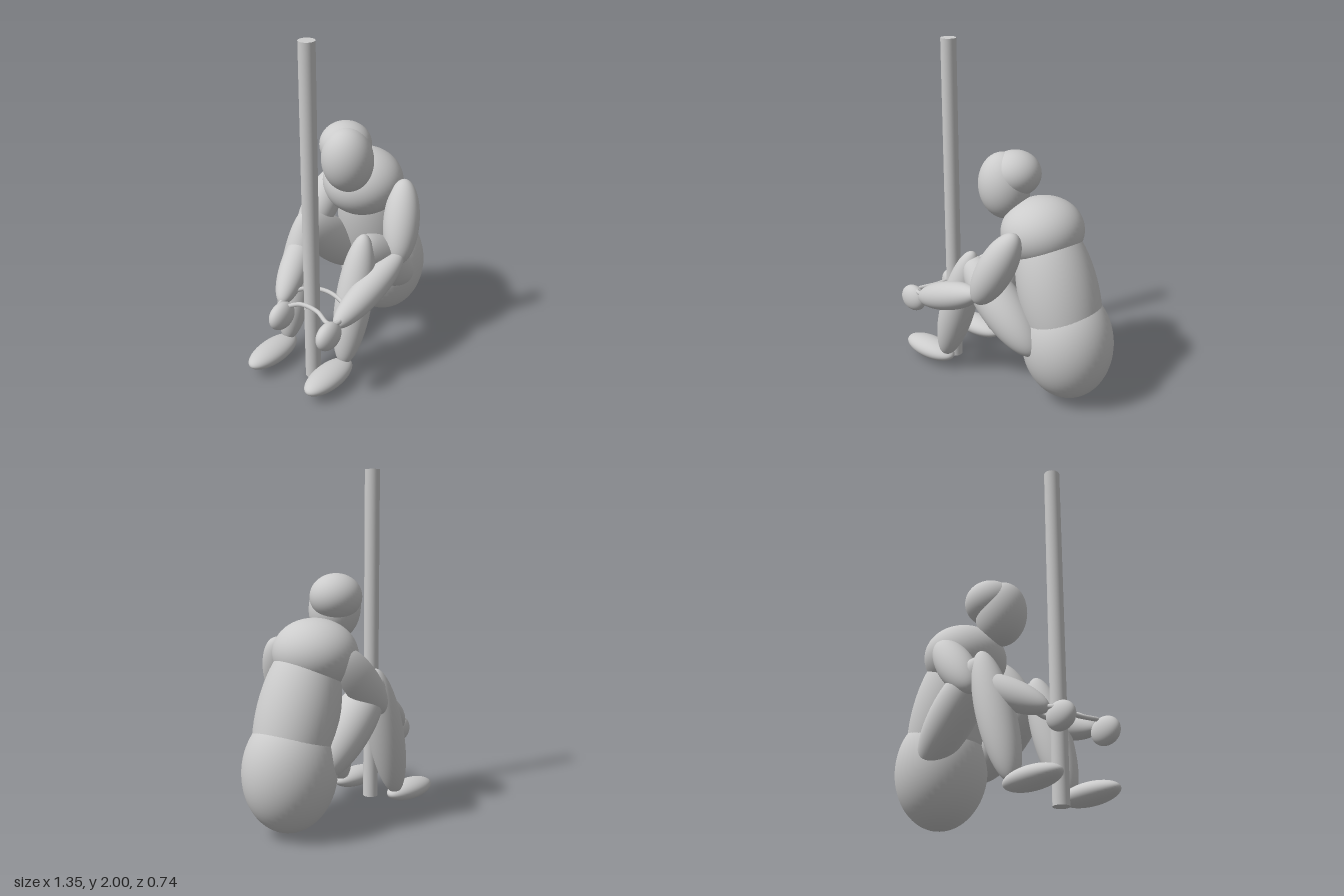
import * as THREE from 'three';

const material = new THREE.MeshStandardMaterial({ color: 0xcccccc });
const ball = new THREE.SphereGeometry(1, 48, 32);

function addMesh(group, name, geometry) {
  const mesh = new THREE.Mesh(geometry, material);
  mesh.name = name;
  group.add(mesh);
  return mesh;
}

// Ellipsoid with given centre, radii and lean about z
function ellipsoid(group, name, centre, radii, lean = 0) {
  const mesh = addMesh(group, name, ball);
  mesh.position.set(...centre);
  mesh.scale.set(...radii);
  mesh.rotation.z = lean;
}

// Round ellipsoid stretched between two tips
function limb(group, name, from, to, radius) {
  const a = new THREE.Vector3(...from);
  const b = new THREE.Vector3(...to);
  const axis = b.clone().sub(a);
  const mesh = addMesh(group, name, ball);
  mesh.position.copy(a).add(b).multiplyScalar(0.5);
  mesh.scale.set(radius, axis.length() / 2, radius);
  mesh.quaternion.setFromUnitVectors(new THREE.Vector3(0, 1, 0), axis.normalize());
}

export function createModel() {
  const model = new THREE.Group();
  model.name = 'seatedFigureAtPole';

  // Upright pole
  const pole = addMesh(model, 'pole', new THREE.CylinderGeometry(0.045, 0.045, 2, 32));
  pole.position.set(-0.43, 1, 0.037);

  // Trunk, leaning forward towards the pole
  const trunk = new THREE.Group();
  trunk.name = 'trunk';
  ellipsoid(trunk, 'hips', [0.405, 0.355, -0.062], [0.268, 0.337, 0.26], 0.08);
  ellipsoid(trunk, 'torso', [0.34, 0.63, -0.057], [0.23, 0.5, 0.232], 0.306);
  ellipsoid(trunk, 'chest', [0.2, 0.98, -0.068], [0.235, 0.198, 0.242], 0.1);
  model.add(trunk);

  // Head, turned a little to one side
  const head = new THREE.Group();
  head.name = 'head';
  ellipsoid(head, 'skull', [0.005, 1.28, -0.05], [0.15, 0.132, 0.148]);
  ellipsoid(head, 'face', [-0.038, 1.21, -0.005], [0.15, 0.192, 0.148], 0.15);
  model.add(head);

  // Arms reaching past the knees
  const arms = [
    { side: 'near', shoulder: [0.24, 1.045, 0.2], elbow: [0.035, 0.605, 0.3],
      elbowTip: [0.055, 0.665, 0.31], wrist: [-0.5, 0.445, 0.25], hand: [-0.56, 0.42, 0.253] },
    { side: 'far', shoulder: [0.22, 1.03, -0.24], elbow: [-0.12, 0.63, -0.29],
      elbowTip: [-0.07, 0.72, -0.27], wrist: [-0.51, 0.46, -0.12], hand: [-0.557, 0.42, -0.08] },
  ];
  for (const { side, shoulder, elbow, elbowTip, wrist, hand } of arms) {
    const arm = new THREE.Group();
    arm.name = side + 'Arm';
    limb(arm, 'upperArm', shoulder, elbow, 0.105);
    limb(arm, 'forearm', elbowTip, wrist, 0.085);
    ellipsoid(arm, 'hand', hand, [0.092, 0.08, 0.054]);
    model.add(arm);
  }

  // Bent legs with feet flat on the ground
  const legs = [
    { side: 'near', kneeY: 0.785, kneeZ: 0.175, hipZ: 0.15, footZ: 0.193 },
    { side: 'far', kneeY: 0.825, kneeZ: -0.235, hipZ: -0.225, footZ: -0.22 },
  ];
  for (const { side, kneeY, kneeZ, hipZ, footZ } of legs) {
    const leg = new THREE.Group();
    leg.name = side + 'Leg';
    limb(leg, 'thigh', [0.355, 0.33, hipZ], [-0.16, kneeY, kneeZ], 0.13);
    limb(leg, 'shin', [-0.12, kneeY + 0.045, kneeZ], [-0.35, 0.09, footZ], 0.105);
    ellipsoid(leg, 'foot', [-0.487, 0.083, footZ], [0.193, 0.06, 0.087]);
    model.add(leg);
  }

  // Thin cord looped from wrist to wrist around the pole
  const cordPath = new THREE.CatmullRomCurve3([
    [-0.55, 0.46, -0.11], [-0.42, 0.5, -0.105], [-0.345, 0.51, -0.04],
    [-0.317, 0.51, 0.07], [-0.35, 0.49, 0.2], [-0.49, 0.48, 0.27],
    [-0.535, 0.48, 0.235], [-0.49, 0.49, 0.12], [-0.488, 0.49, 0.0],
  ].map((p) => new THREE.Vector3(...p)), true);
  addMesh(model, 'cord', new THREE.TubeGeometry(cordPath, 120, 0.013, 10, true));

  return model;
}
